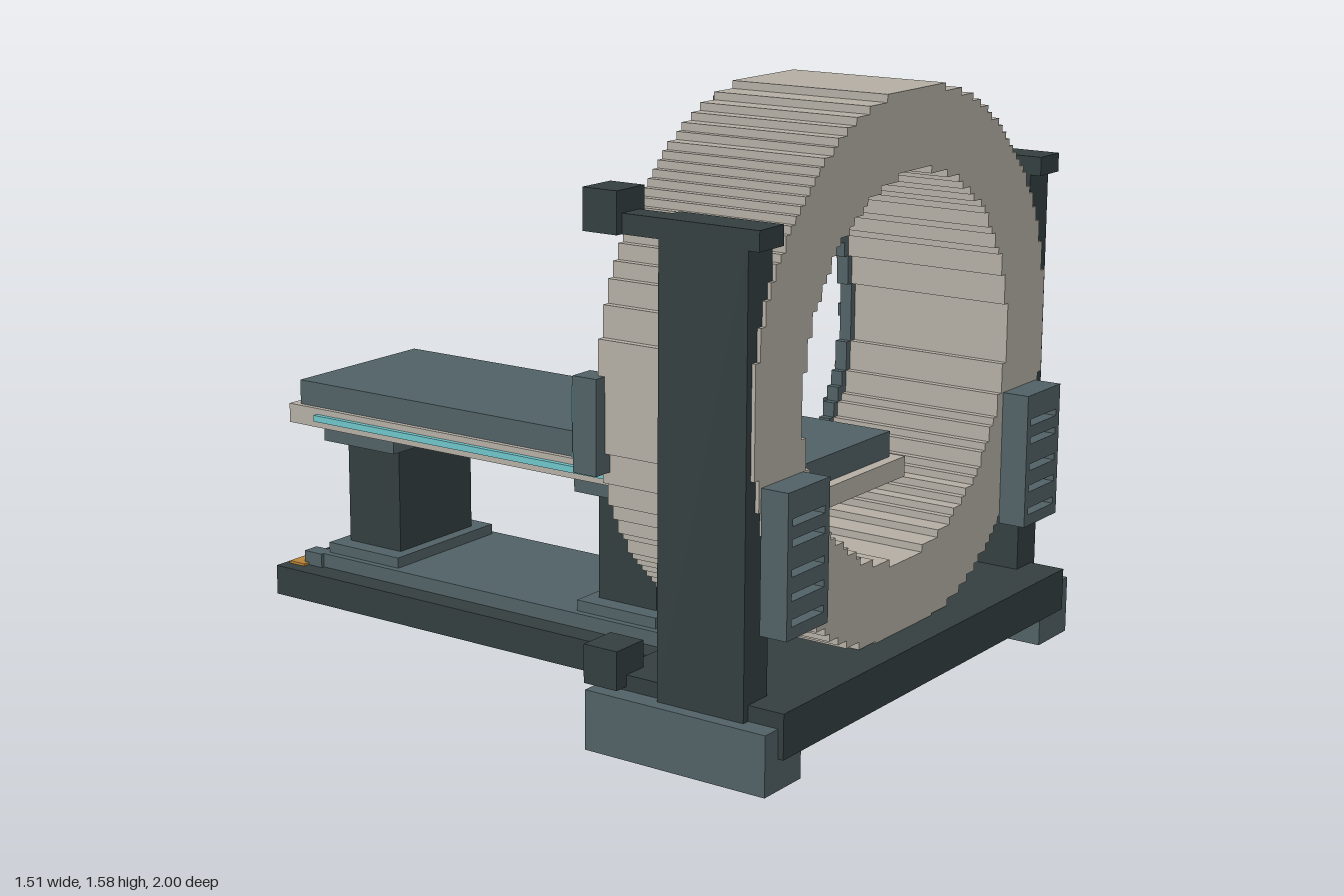
import * as THREE from 'three';

const mat = (name, color) => {
  const m = new THREE.MeshStandardMaterial({ color });
  m.name = name;
  return m;
};

export function createModel() {
  const root = new THREE.Group();
  root.name = 'scanner';
  const shell = mat('warm grey shell', 0xb5afa5);
  const slate = mat('slate panel', 0x526266);
  const dark = mat('dark frame', 0x343f40);
  const cyan = mat('cyan light', 0x6fc5ca);
  const amber = mat('amber light', 0xb98538);

  const add = (name, geometry, material, parent = root) => {
    const mesh = new THREE.Mesh(geometry, material);
    mesh.name = name;
    parent.add(mesh);
    return mesh;
  };
  // Box given by its extents on each axis
  const box = (name, material, [x0, x1], [y0, y1], [z0, z1], parent) => {
    const mesh = add(name, new THREE.BoxGeometry(x1 - x0, y1 - y0, z1 - z0), material, parent);
    mesh.position.set((x0 + x1) / 2, (y0 + y1) / 2, (z0 + z1) / 2);
    return mesh;
  };
  // Same box on both sides; x range is given for the +x side
  const pair = (name, material, [x0, x1], y, z) => {
    box(name + 'Left', material, [x0, x1], y, z);
    box(name + 'Right', material, [-x1, -x0], y, z);
  };

  // Circle outline stepped on a square grid
  const cell = 0.02, ringY = 0.88;
  const steppedCircle = (r) => {
    const n = Math.round(r / cell), q = [];
    const width = (j) => cell * Math.round(Math.sqrt(Math.max(0, r * r - ((j + 0.5) * cell) ** 2)) / cell);
    for (let j = 0; j < n; j++) {
      if (j > 0 && width(j) !== width(j - 1)) q.push([width(j), j * cell]);
      if (j === n - 1 || width(j) !== width(j + 1)) q.push([width(j), (j + 1) * cell]);
    }
    const back = [...q].reverse();
    return [
      ...q, ...back.map(([x, y]) => [-x, y]),
      ...q.map(([x, y]) => [-x, -y]), ...back.map(([x, y]) => [x, -y]),
    ].map(([x, y]) => new THREE.Vector2(x, y));
  };
  const ring = (name, material, outer, inner, z0, z1) => {
    const shape = new THREE.Shape(steppedCircle(outer));
    shape.holes.push(new THREE.Path(steppedCircle(inner)));
    const mesh = add(name, new THREE.ExtrudeGeometry(shape, { depth: z1 - z0, bevelEnabled: false }), material);
    mesh.position.set(0, ringY, z0);
  };

  // Gantry ring with a stepped back face and a dark rim
  ring('gantryRing', shell, 0.706, 0.497, 0.46, 0.91);
  ring('gantryBackStep', shell, 0.61, 0.497, 0.44, 0.46);
  ring('innerRim', slate, 0.53, 0.477, 0.405, 0.44);

  // Rim blocks and small lights around the bore
  for (let i = 0; i < 12; i++) {
    const a = (i * Math.PI) / 6, b = a + Math.PI / 12;
    const block = add('rimBlock', new THREE.BoxGeometry(0.035, 0.035, 0.03), slate);
    block.position.set(0.51 * Math.cos(a), ringY + 0.51 * Math.sin(a), 0.405);
    const light = add('rimLight', new THREE.BoxGeometry(0.018, 0.06, 0.008), amber);
    light.position.set(0.5 * Math.cos(b), ringY + 0.5 * Math.sin(b), 0.402);
    light.rotation.z = b;
  }

  // Lit panels on the back of the ring
  box('topPanel', slate, [-0.16, 0.16], [1.47, 1.54], [0.415, 0.46]);
  box('topPanelLight', cyan, [-0.11, 0.11], [1.485, 1.51], [0.405, 0.415]);
  pair('sidePanel', slate, [0.665, 0.735], [0.69, 0.93], [0.41, 0.48]);
  pair('sidePanelLight', cyan, [0.68, 0.715], [0.72, 0.9], [0.392, 0.41]);

  // Slotted vents on the front
  const vent = new THREE.Shape([[0.49, 0.36], [0.67, 0.36], [0.67, 0.72], [0.49, 0.72]]
    .map(([x, y]) => new THREE.Vector2(x, y)));
  for (const y of [0.4, 0.463, 0.522, 0.595, 0.645]) {
    vent.holes.push(new THREE.Path([[0.51, y - 0.009], [0.51, y + 0.009], [0.65, y + 0.009], [0.65, y - 0.009]]
      .map(([x, v]) => new THREE.Vector2(x, v))));
  }
  const ventGeometry = new THREE.ExtrudeGeometry(vent, { depth: 0.075, bevelEnabled: false });
  for (const side of [0, -1.16]) add('frontVent', ventGeometry, slate).position.set(side, 0, 0.91);

  // Gantry base, feet, columns and arms
  box('gantryBase', dark, [-0.7, 0.7], [0.08, 0.195], [0.5, 1]);
  pair('foot', slate, [0.6, 0.755], [0, 0.155], [0.46, 0.985]);
  pair('column', dark, [0.62, 0.72], [0.155, 1.3], [0.65, 0.9]);
  pair('columnCap', dark, [0.62, 0.72], [1.285, 1.335], [0.64, 0.93]);
  pair('columnArm', dark, [0.65, 0.72], [1.285, 1.335], [0.54, 0.64]);
  for (const [y0, y1, name] of [[1.285, 1.39, 'upper'], [0.165, 0.265, 'lower']]) {
    pair(name + 'SensorBox', dark, [0.63, 0.74], [y0, y1], [0.445, 0.545]);
    pair(name + 'SensorLight', amber, [0.655, 0.715], [y0 + 0.03, y1 - 0.025], [0.436, 0.445]);
  }

  // Table base with corner lights
  box('tableBase', dark, [-0.3, 0.295], [0, 0.085], [-1, 0.7]);
  box('tableBasePlate', slate, [-0.23, 0.23], [0.085, 0.125], [-0.9, 0.5]);
  pair('cornerBlock', slate, [0.19, 0.24], [0.085, 0.125], [-0.945, -0.88]);
  pair('cornerLight', amber, [0.175, 0.26], [0.085, 0.092], [-0.985, -0.93]);
  pair('undersideLight', amber, [0.17, 0.24], [-0.001, 0.004], [-0.965, -0.895]);

  // Pedestals
  for (const z of [0.15, -0.745]) {
    box('pedestalFoot', slate, [-0.21, 0.21], [0.125, 0.155], [z - 0.13, z + 0.13]);
    box('pedestal', dark, [-0.158, 0.158], [0.155, 0.46], [z - 0.095, z + 0.095]);
    box('pedestalTop', slate, [-0.22, 0.225], [0.46, 0.51], [z - 0.13, z + 0.13]);
  }

  // Table top, cushion and light strips
  box('tableTop', shell, [-0.265, 0.275], [0.51, 0.565], [-0.965, 0.74]);
  box('cushion', slate, [-0.25, 0.245], [0.565, 0.635], [-0.935, 0.71]);
  box('cushionEnd', slate, [-0.235, 0.23], [0.585, 0.618], [-0.948, -0.935]);
  box('lightStripLeft', cyan, [0.275, 0.28], [0.53, 0.548], [-0.86, 0.6]);
  box('lightStripRight', cyan, [-0.28, -0.265], [0.53, 0.548], [-0.86, 0.6]);

  return root;
}
